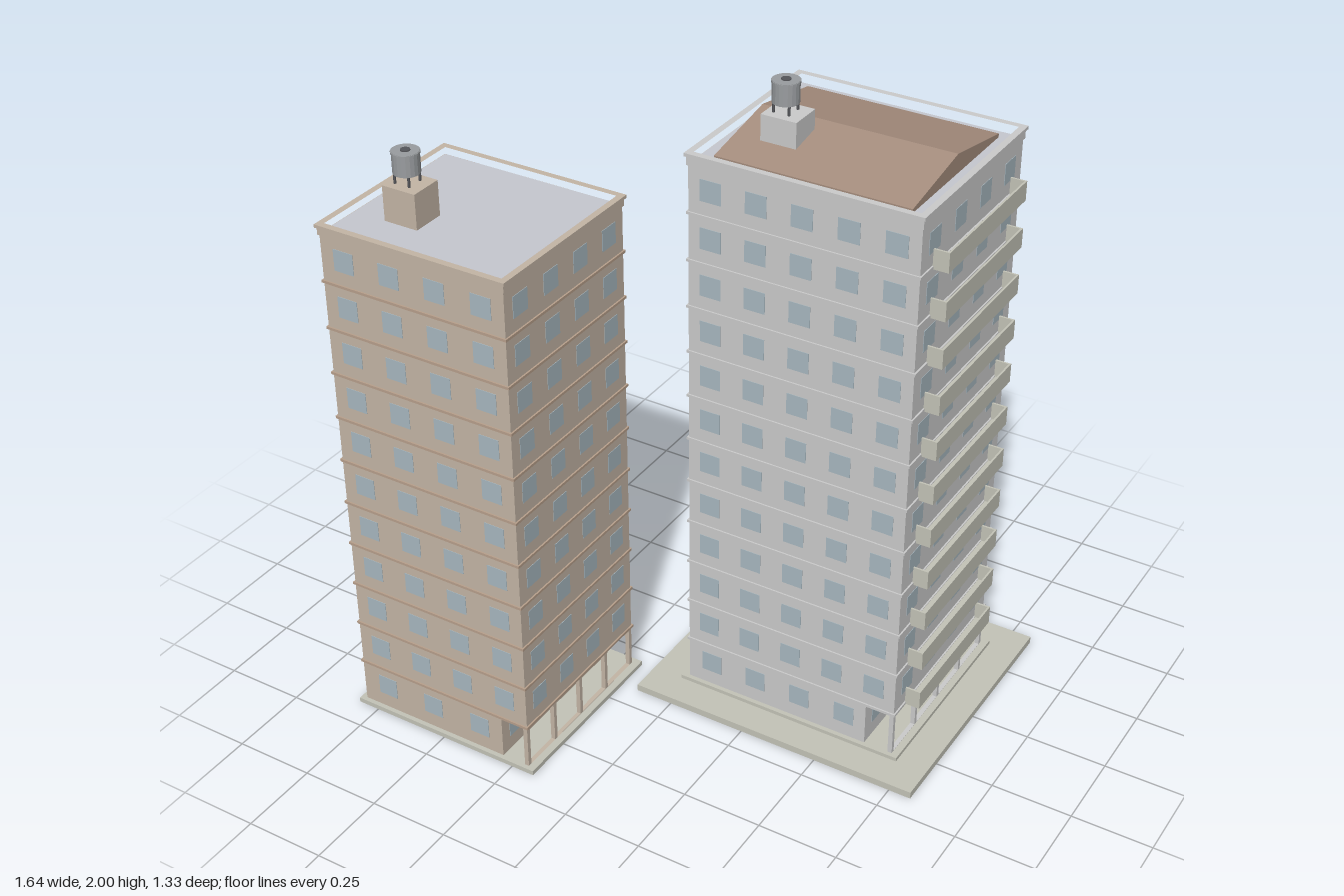
import * as THREE from 'three';

const mat = (color, side = THREE.FrontSide) =>
  new THREE.MeshStandardMaterial({ color, side, flatShading: true });
const grey = mat(0xcccccc), tan = mat(0xc4b6a6), tanBand = mat(0xb8a08c);
const glass = mat(0xa8b8c0), deck = mat(0xc6c8d0), brown = mat(0xa68e7e);
const stone = mat(0xc4c4b8), dark = mat(0x55565a), steel = mat(0x9a9da0);

// Box given by its limits on each axis
function block(parent, name, [x0, x1], [y0, y1], [z0, z1], material) {
  const m = new THREE.Mesh(new THREE.BoxGeometry(x1 - x0, y1 - y0, z1 - z0), material);
  m.position.set((x0 + x1) / 2, (y0 + y1) / 2, (z0 + z1) / 2);
  m.name = name;
  parent.add(m);
  return m;
}

function cylinder(parent, name, r, y0, y1, x, z, material, sides = 20) {
  const m = new THREE.Mesh(new THREE.CylinderGeometry(r, r, y1 - y0, sides), material);
  m.position.set(x, (y0 + y1) / 2, z);
  m.name = name;
  parent.add(m);
  return m;
}

// Thin round bar between two points
function bar(parent, name, a, b, r, material) {
  const p = new THREE.Vector3(...a), q = new THREE.Vector3(...b);
  const m = new THREE.Mesh(new THREE.CylinderGeometry(r, r, p.distanceTo(q), 6), material);
  m.position.copy(p).add(q).multiplyScalar(0.5);
  m.quaternion.setFromUnitVectors(new THREE.Vector3(0, 1, 0), q.sub(p).normalize());
  m.name = name;
  parent.add(m);
}

// Rectangular ring of walls
function ring(parent, name, [x0, x1], [y0, y1], [z0, z1], t, material) {
  const s = new THREE.Shape();
  s.moveTo(x0, -z0).lineTo(x1, -z0).lineTo(x1, -z1).lineTo(x0, -z1).closePath();
  const h = new THREE.Path();
  h.moveTo(x0 + t, -z0 - t).lineTo(x1 - t, -z0 - t).lineTo(x1 - t, -z1 + t).lineTo(x0 + t, -z1 + t).closePath();
  s.holes.push(h);
  const g = new THREE.ExtrudeGeometry(s, { depth: y1 - y0, bevelEnabled: false }).rotateX(-Math.PI / 2);
  const m = new THREE.Mesh(g, material);
  m.position.y = y0;
  m.name = name;
  parent.add(m);
}

// Four-bay arcade with rounded upper corners, along z at the +x side
function arcade(parent, x1, [y0, y1], [z0, z1], material) {
  const s = new THREE.Shape();
  s.moveTo(-z1, y0).lineTo(-z0, y0).lineTo(-z0, y1).lineTo(-z1, y1).closePath();
  const col = 0.013, r = 0.016, top = y1 - 0.004, pitch = (z1 - z0 - col) / 4;
  for (let i = 0; i < 4; i++) {
    const a = -z1 + col + i * pitch, b = a + pitch - col;
    const h = new THREE.Path();
    h.moveTo(a, y0 + 0.001).lineTo(b, y0 + 0.001).lineTo(b, top - r);
    h.quadraticCurveTo(b, top, b - r, top);
    h.lineTo(a + r, top);
    h.quadraticCurveTo(a, top, a, top - r);
    h.closePath();
    s.holes.push(h);
  }
  const g = new THREE.ExtrudeGeometry(s, { depth: 0.014, bevelEnabled: false, curveSegments: 5 });
  const m = new THREE.Mesh(g.rotateY(Math.PI / 2), material);
  m.position.x = x1 - 0.014;
  m.name = 'arcade';
  parent.add(m);
}

// Water tank on legs above a stair housing
function roofTank(parent, bx, by, bz, x, z, top, material) {
  block(parent, 'stairHousing', bx, by, bz, material);
  for (const i of [-1, 1]) for (const j of [-1, 1])
    cylinder(parent, 'tankLeg', 0.004, by[1], top - 0.06, x + i * 0.024, z + j * 0.024, dark, 6);
  cylinder(parent, 'waterTank', 0.039, top - 0.068, top - 0.003, x, z, steel);
  cylinder(parent, 'tankRim', 0.041, top - 0.01, top - 0.004, x, z, steel);
  cylinder(parent, 'tankHatch', 0.014, top - 0.004, top, x, z, dark, 12);
}

function tower(name, o) {
  const g = new THREE.Group();
  g.name = name;
  const [x0, x1] = o.x, [z0, z1] = o.z, H = 0.1465;
  const first = o.base + H, roofY = o.base + H * o.floors;
  const groundX = x1 - 0.092;

  // Walls, recessed ground floor and arcade
  block(g, 'walls', o.x, [first, roofY], o.z, o.wall);
  block(g, 'groundFloor', [x0, groundX], [o.base, first], o.z, o.wall);
  arcade(g, x1, [o.base, first], o.z, o.wall);

  // Floor bands, roof deck and parapet
  for (let f = 1; f < o.floors; f++) {
    const y = o.base + f * H, e = 0.005;
    block(g, 'floorBand', [x0 - e, x1 + e], [y - 0.004, y + 0.004], [z0 - e, z1 + e], o.band);
  }
  block(g, 'roofDeck', [x0 + 0.005, x1 - 0.005], [roofY, roofY + 0.003], [z0 + 0.005, z1 - 0.005], deck);
  ring(g, 'parapet', [x0 - 0.004, x1 + 0.004], [roofY - 0.004, o.top], [z0 - 0.004, z1 + 0.004], 0.014, o.wall);
  ring(g, 'coping', [x0 - 0.009, x1 + 0.009], [o.top - 0.01, o.top], [z0 - 0.009, z1 + 0.009], 0.02, o.wall);

  // Windows on each floor
  const w = 0.033, t = 0.0015;
  for (let f = 0; f < o.floors; f++) {
    const y = o.base + f * H + (f ? 0.078 : 0.08), ys = [y - w, y + w];
    const right = f ? x1 : groundX, n = f ? o.nx : o.nx - 1;
    for (let i = 0; i < n; i++) {
      const c = x0 + (right - x0) * (i + 0.5) / n + (f ? 0 : 0.004);
      block(g, 'window', [c - w, c + w], ys, [z1 - t, z1 + t], glass);
      block(g, 'window', [c - w, c + w], ys, [z0 - t, z0 + t], glass);
    }
    for (let i = 0; i < 4; i++) {
      const c = z0 + (z1 - z0) * (i + 0.5) / 4, zs = [c - w, c + w];
      block(g, 'window', [right - t, right + t], ys, zs, glass);
      if (o.leftWindows) block(g, 'window', [x0 - t, x0 + t], ys, zs, glass);
    }
  }

  // Air conditioners on the back
  for (let f = 0; f < 7; f++) {
    const y = o.acY + f * H, x = o.acX;
    block(g, 'airConditioner', [x - 0.02, x + 0.02], [y - 0.014, y + 0.016], [z0 - 0.02, z0 - 0.003], grey);
    const fan = cylinder(g, 'fanGrille', 0.011, -0.001, 0.001, x, z0 - 0.021, dark, 12);
    fan.rotation.x = Math.PI / 2;
    fan.position.y = y + 0.001;
    for (const s of [-1, 1])
      bar(g, 'airConditionerBracket', [x + s * 0.015, y - 0.014, z0 - 0.018], [x + s * 0.015, y - 0.026, z0], 0.002, dark);
  }
  return g;
}

// Open-topped balcony with diagonal struts
function balcony(x, y) {
  const g = new THREE.Group();
  g.name = 'balcony';
  const z0 = -0.485, z1 = -0.005, d = 0.047, h = 0.06, t = 0.006;
  block(g, 'balconyFloor', [x, x + d], [y, y + t], [z0, z1], stone);
  block(g, 'balconyFront', [x + d - t, x + d], [y, y + h], [z0, z1], stone);
  block(g, 'balconySide', [x, x + d], [y, y + h], [z0, z0 + t], stone);
  block(g, 'balconySide', [x, x + d], [y, y + h], [z1 - t, z1], stone);
  for (const z of [-0.07, -0.415])
    bar(g, 'balconyStrut', [x + d - 0.004, y, z], [x, y - 0.03, z], 0.004, dark);
  return g;
}

export function createModel() {
  const model = new THREE.Group();
  model.name = 'apartmentTowers';

  // Lower tan tower
  const low = tower('lowTower', {
    x: [-0.802, -0.198], z: [0.087, 0.648], base: 0.015, floors: 11, top: 1.655,
    wall: tan, band: tanBand, nx: 4, leftWindows: true, acX: -0.67, acY: 0.055,
  });
  block(low, 'baseSlab', [-0.82, -0.175], [0, 0.015], [0.065, 0.662], stone);
  roofTank(low, [-0.692, -0.583], [1.625, 1.737], [0.402, 0.505], -0.645, 0.453, 1.835, tan);

  // Taller grey tower
  const tall = tower('tallTower', {
    x: [0, 0.7], z: [-0.55, 0.062], base: 0.034, floors: 12, top: 1.825,
    wall: grey, band: grey, nx: 5, leftWindows: false, acX: 0.15, acY: 0.085,
  });
  block(tall, 'baseSlab', [-0.12, 0.82], [0, 0.022], [-0.67, 0.175], stone);
  block(tall, 'plinth', [-0.022, 0.722], [0.022, 0.034], [-0.572, 0.076], stone);
  roofTank(tall, [0.13, 0.24], [1.795, 1.905], [-0.2, -0.097], 0.177, -0.15, 2, grey);

  // Shallow gabled roof
  const gable = new THREE.Shape();
  gable.moveTo(-0.012, 1.796).lineTo(0.508, 1.796).lineTo(0.508, 1.807);
  gable.lineTo(0.248, 1.855).lineTo(-0.012, 1.807).closePath();
  const roof = new THREE.Mesh(
    new THREE.ExtrudeGeometry(gable, { depth: 0.595, bevelEnabled: false }).rotateY(Math.PI / 2), brown);
  roof.position.x = 0.05;
  roof.name = 'gabledRoof';
  tall.add(roof);

  // Stack of balconies
  for (let i = 0; i < 11; i++) tall.add(balcony(0.702, 0.177 + i * 0.1463));

  model.add(low, tall);
  return model;
}
